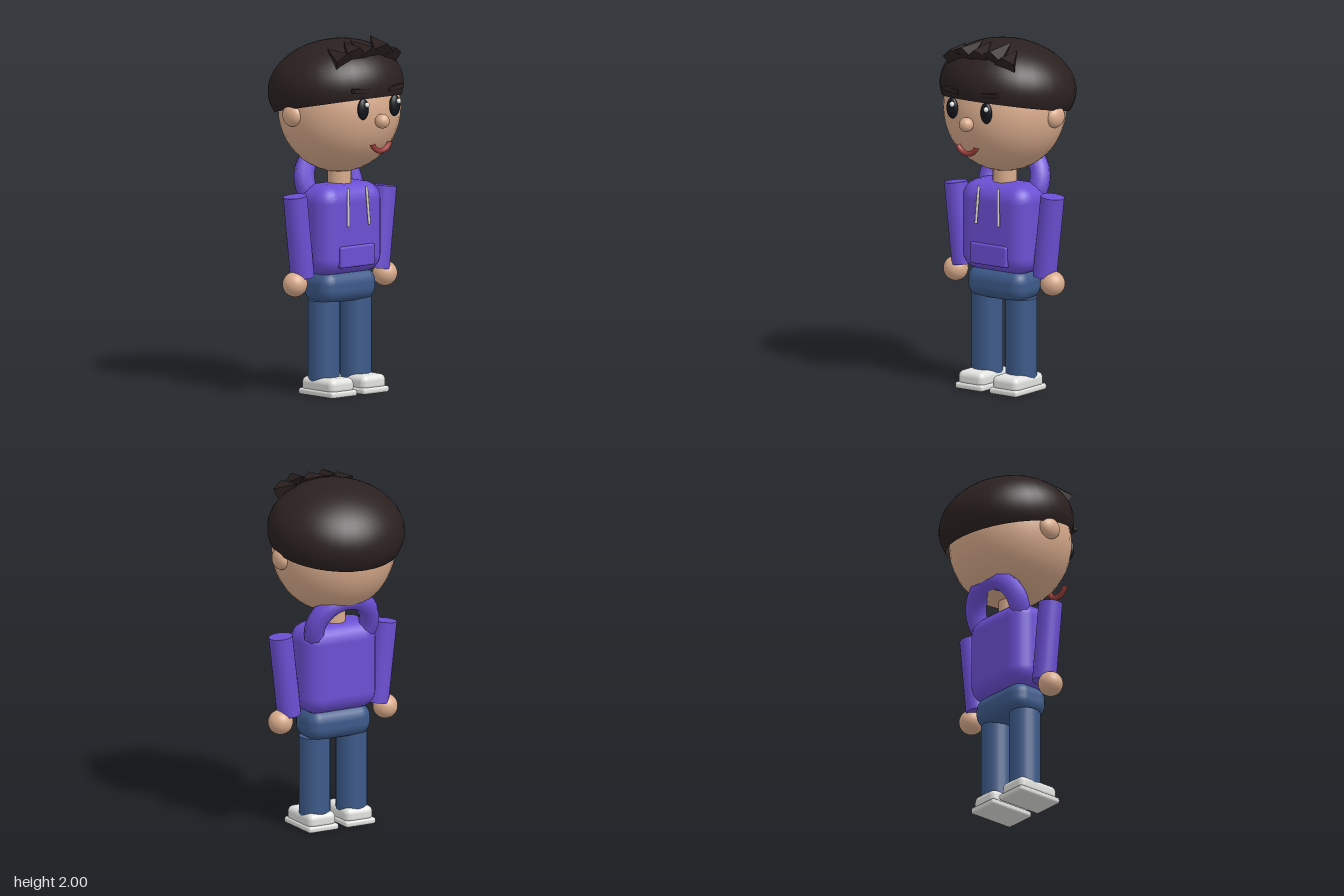
import * as THREE from 'three';
import { RoundedBoxGeometry } from 'three/addons/geometries/RoundedBoxGeometry.js';

const paint = (name, color, side = THREE.FrontSide) => {
  const m = new THREE.MeshStandardMaterial({ color, side });
  m.name = name;
  return m;
};

export function createModel() {
  const skin = paint('skin', 0xd9ab8c);
  const hair = paint('dark hair', 0x2b2020, THREE.DoubleSide);
  const purple = paint('purple cloth', 0x6b4fd3);
  const denim = paint('blue denim', 0x3d5a8a);
  const shoeWhite = paint('shoe white', 0xe2e2e0);
  const cord = paint('pale cord', 0xd8d4c8);
  const eyeBlack = paint('eye black', 0x11151c);
  const white = paint('white', 0xffffff);
  const lip = paint('lip red', 0x9c3f3c);

  const model = new THREE.Group();
  model.name = 'boy';

  const add = (name, geometry, material, x = 0, y = 0, z = 0) => {
    const mesh = new THREE.Mesh(geometry, material);
    mesh.name = name;
    mesh.position.set(x, y, z);
    model.add(mesh);
    return mesh;
  };
  const ellipsoid = (rx, ry, rz, w = 24, h = 16) =>
    new THREE.SphereGeometry(1, w, h).scale(rx, ry, rz);
  // Cylinder or cone running from point a to point b
  const UP = new THREE.Vector3(0, 1, 0);
  const between = (name, a, b, rA, rB, sides, material) => {
    const p = new THREE.Vector3(...a), q = new THREE.Vector3(...b);
    const dir = q.clone().sub(p);
    let g = new THREE.CylinderGeometry(rB, rA, dir.length(), sides);
    if (sides < 8) {
      g = g.toNonIndexed();
      g.computeVertexNormals();
    }
    const mesh = add(name, g, material);
    mesh.position.copy(p).add(q).multiplyScalar(0.5);
    mesh.quaternion.setFromUnitVectors(UP, dir.normalize());
    return mesh;
  };

  // Head and neck
  add('head', ellipsoid(0.348, 0.36, 0.336, 32, 24), skin, 0, 1.6, 0);
  add('neck', new THREE.CylinderGeometry(0.067, 0.067, 0.18, 20), skin, 0, 1.22, 0);
  add('nose', ellipsoid(0.041, 0.041, 0.041), skin, 0, 1.557, 0.356);

  // Hair cap, tilted so it sits lower at the back
  const cap = new THREE.SphereGeometry(1, 32, 20, 0, Math.PI * 2, 0, Math.PI * 0.613);
  add('hairCap', cap.scale(0.388, 0.27, 0.37), hair, 0, 1.71, -0.03).rotation.x = -0.2;

  // Swept-back tufts over the forehead: base centre, tip
  const tufts = [
    [[-0.175, 1.885, 0.235], [-0.19, 1.955, 0.11]],
    [[-0.1, 1.91, 0.245], [-0.068, 1.985, 0.112]],
    [[0, 1.905, 0.247], [-0.015, 1.985, 0.108]],
    [[0.1, 1.915, 0.245], [0.13, 2.0, 0.11]],
    [[0.18, 1.885, 0.235], [0.168, 1.96, 0.11]],
  ];
  tufts.forEach(([a, b], i) => between('hairTuft' + (i + 1), a, b, 0.07, 0, 5, hair));

  // Smile
  const arc = Math.PI * 0.77;
  add('mouth', new THREE.TorusGeometry(0.07, 0.0155, 10, 24, arc), lip, 0, 1.46, 0.346)
    .rotation.z = -Math.PI / 2 - arc / 2;

  // Hooded top
  add('torso', new RoundedBoxGeometry(0.465, 0.51, 0.282, 3, 0.1), purple, 0, 0.925, 0.003);
  add('frontPocket', new RoundedBoxGeometry(0.255, 0.12, 0.04, 2, 0.012), purple, 0, 0.78, 0.14);
  const hoodArc = Math.PI * 1.2;
  const hoodShape = new THREE.TorusGeometry(0.174, 0.058, 8, 24, hoodArc)
    .rotateZ((Math.PI - hoodArc) / 2);
  add('hood', hoodShape, purple, 0, 1.17, -0.09).rotation.x = -0.36;

  // Hips
  add('hips', new RoundedBoxGeometry(0.4, 0.18, 0.236, 3, 0.075), denim, 0, 0.605, 0.003);

  // Paired parts: s = +1 is the left side
  for (const s of [1, -1]) {
    const side = s > 0 ? 'left' : 'right';
    add(side + 'Ear', ellipsoid(0.042, 0.062, 0.067), skin, s * 0.344, 1.583, -0.01);
    add(side + 'Eye', ellipsoid(0.037, 0.06, 0.022), eyeBlack, s * 0.118, 1.632, 0.328);
    add(side + 'EyeGlint', ellipsoid(0.015, 0.015, 0.015, 12, 8), white, s * 0.118 + 0.012, 1.657, 0.347);
    add(side + 'Brow', new THREE.BoxGeometry(0.11, 0.024, 0.025), hair, s * 0.13, 1.732, 0.319)
      .rotation.z = s * 0.12;
    between(side + 'Drawstring', [s * 0.068, 1.165, 0.15], [s * 0.078, 0.952, 0.163], 0.008, 0.008, 10, cord);
    between(side + 'Sleeve', [s * 0.281, 0.672, 0.005], [s * 0.335, 1.13, 0.005], 0.067, 0.067, 24, purple);
    add(side + 'Hand', ellipsoid(0.07, 0.07, 0.07), skin, s * 0.336, 0.637, 0.005);
    add(side + 'Leg', new THREE.CylinderGeometry(0.088, 0.088, 0.45, 24), denim, s * 0.118, 0.305, 0.003);
    add(side + 'Shoe', new RoundedBoxGeometry(0.178, 0.09, 0.268, 3, 0.035), shoeWhite, s * 0.119, 0.058, 0.037);
    add(side + 'Sole', new RoundedBoxGeometry(0.192, 0.036, 0.288, 2, 0.014), shoeWhite, s * 0.119, 0.018, 0.037);
  }
  return model;
}
